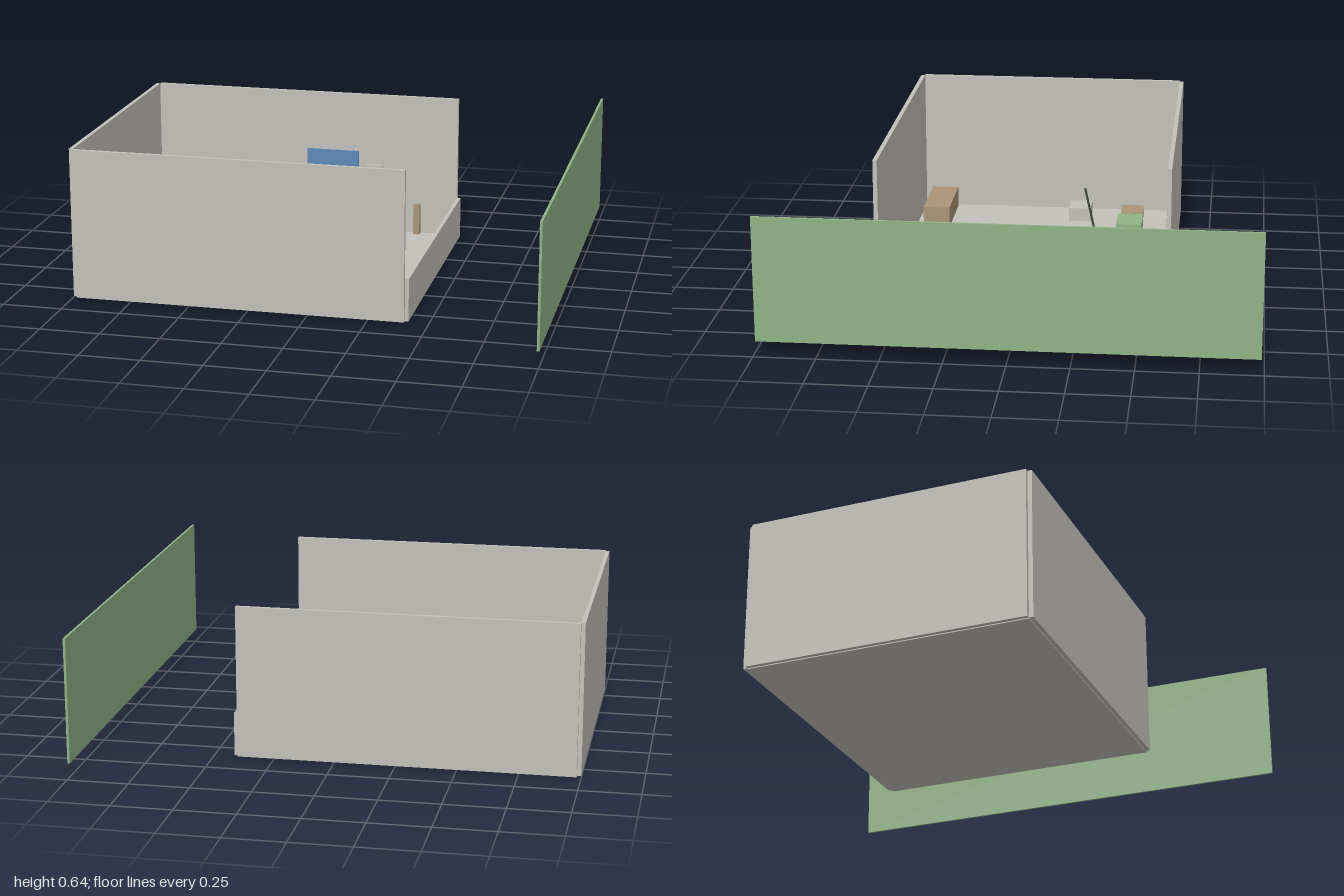
import * as THREE from 'three';

const material = (name, color) => {
  const m = new THREE.MeshStandardMaterial({ color });
  m.name = name;
  return m;
};

export function createModel() {
  const group = new THREE.Group();
  const grey = material('grey', 0xc2c0ba);
  const green = material('green', 0x90b286);
  const blue = material('blue', 0x5c87b8);
  const brown = material('brown', 0xaa9378);
  const yellow = material('yellow', 0xd0bc3c);
  const dark = material('darkGreen', 0x3f4a3a);

  // Box given by its minimum and maximum on each axis
  const box = (name, mat, [x0, x1], [y0, y1], [z0, z1]) => {
    const mesh = new THREE.Mesh(new THREE.BoxGeometry(x1 - x0, y1 - y0, z1 - z0), mat);
    mesh.position.set((x0 + x1) / 2, (y0 + y1) / 2, (z0 + z1) / 2);
    mesh.name = name;
    group.add(mesh);
    return mesh;
  };

  // Room shell, with corner notches between neighbouring walls
  const F = 0.008;
  box('floor', grey, [-0.983, 0.401], [0, F], [-0.593, 0.593]);
  box('backWall', grey, [-0.983, 0.401], [0.004, 0.637], [-0.611, -0.593]);
  box('frontWall', grey, [-0.983, 0.401], [0.004, 0.637], [0.593, 0.611]);
  box('sideWall', grey, [-1, -0.983], [0.004, 0.637], [-0.593, 0.593]);
  box('lowWall', grey, [0.401, 0.417], [0.004, 0.183], [-0.593, 0.593]);

  // Free-standing panel outside the open side
  box('outerPanel', green, [0.99, 1], [0.066, 0.58], [-0.988, 0.988]);

  // Furniture standing on the floor
  box('brownTable', brown, [-0.905, -0.785], [F, 0.055], [-0.44, -0.34]);
  box('greenTable', green, [-0.745, -0.588], [F, 0.065], [-0.445, -0.33]);
  box('greyTable', grey, [-0.905, -0.785], [F, 0.07], [-0.2, -0.1]);
  box('stool', grey, [-0.535, -0.443], [F, 0.06], [-0.112, -0.055]);
  box('bench', brown, [-0.963, -0.645], [F, 0.1], [0.44, 0.56]);
  box('blueCabinet', blue, [-0.017, 0.14], [F, 0.182], [0, 0.097]);
  box('greyCrate', grey, [-0.022, 0.075], [F, 0.085], [-0.475, -0.38]);
  box('brownPost', brown, [0.207, 0.235], [F, 0.145], [-0.59, -0.562]);

  // Fittings on the back wall
  box('wallScreen', blue, [-0.29, -0.052], [0.213, 0.373], [-0.594, -0.586]);
  box('wallBox', grey, [-0.013, 0.06], [0.27, 0.315], [-0.594, -0.577]);
  for (const x of [-0.55, -0.522])
    box('wallSocket', grey, [x - 0.007, x + 0.007], [0.08, 0.1], [-0.594, -0.586]);

  // Leaning stick
  const bottom = new THREE.Vector3(-0.526, F, -0.247);
  const top = new THREE.Vector3(-0.526, 0.25, -0.193);
  const span = top.clone().sub(bottom);
  const stick = new THREE.Mesh(new THREE.CylinderGeometry(0.005, 0.005, span.length(), 8), dark);
  stick.position.copy(bottom).add(top).multiplyScalar(0.5);
  stick.quaternion.setFromUnitVectors(new THREE.Vector3(0, 1, 0), span.normalize());
  stick.name = 'leaningStick';
  group.add(stick);

  // Yellow floor marking: a thin rounded frame
  const rounded = (path, w, h, r) => {
    path.moveTo(-w + r, -h);
    path.lineTo(w - r, -h).quadraticCurveTo(w, -h, w, -h + r);
    path.lineTo(w, h - r).quadraticCurveTo(w, h, w - r, h);
    path.lineTo(-w + r, h).quadraticCurveTo(-w, h, -w, h - r);
    path.lineTo(-w, -h + r).quadraticCurveTo(-w, -h, -w + r, -h);
    return path;
  };
  const frame = rounded(new THREE.Shape(), 0.224, 0.206, 0.014);
  frame.holes.push(rounded(new THREE.Path(), 0.211, 0.193, 0.004));
  const marking = new THREE.Mesh(
    new THREE.ExtrudeGeometry(frame, { depth: 0.005, bevelEnabled: false, curveSegments: 4 }), yellow);
  marking.rotation.x = -Math.PI / 2;
  marking.position.set(-0.29, F, -0.15);
  marking.name = 'floorMarking';
  group.add(marking);

  return group;
}
